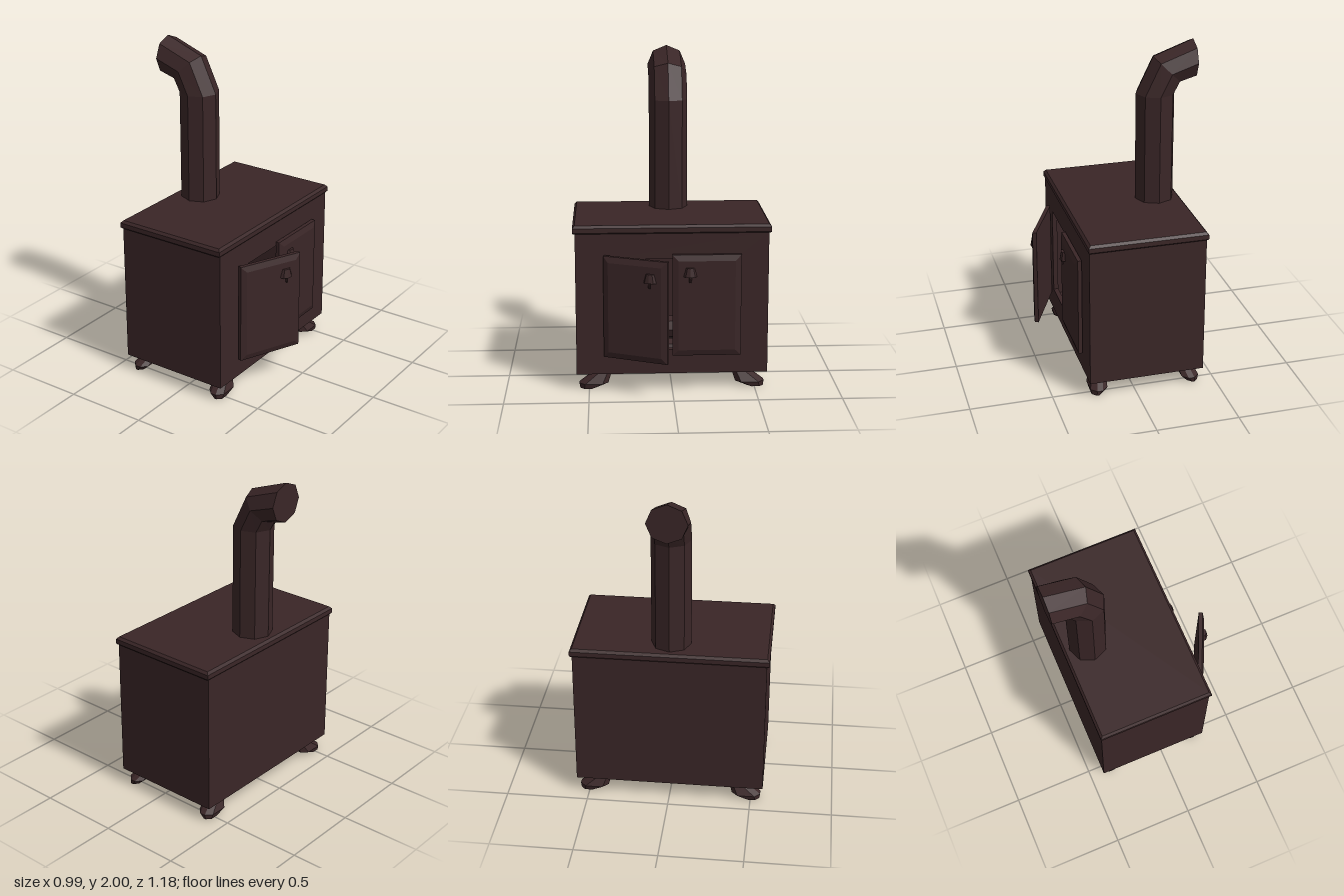
import * as THREE from 'three';
import { ConvexGeometry } from 'three/addons/geometries/ConvexGeometry.js';

export function createModel() {
  const root = new THREE.Group();
  root.name = 'woodStove';
  const iron = new THREE.MeshStandardMaterial({ color: 0x3a2627, flatShading: true });
  iron.name = 'castIron';

  const add = (parent, name, geometry, x = 0, y = 0, z = 0) => {
    const mesh = new THREE.Mesh(geometry, iron);
    mesh.name = name;
    mesh.position.set(x, y, z);
    parent.add(mesh);
    return mesh;
  };
  const hull = (points) => new ConvexGeometry(points.map((p) => new THREE.Vector3(...p)));
  // box from minimum and maximum corners
  const block = (name, [x0, y0, z0], [x1, y1, z1]) =>
    add(root, name, new THREE.BoxGeometry(x1 - x0, y1 - y0, z1 - z0),
      (x0 + x1) / 2, (y0 + y1) / 2, (z0 + z1) / 2);

  // Hollow firebox
  const X0 = -0.42, X1 = 0.285, Z = 0.575, Y0 = 0.1, Y1 = 0.97, T = 0.03;
  block('floor', [X0, Y0, -Z], [X1 - T, Y0 + T, Z]);
  block('ceiling', [X0, Y1 - T, -Z], [X1 - T, Y1, Z]);
  block('rearWall', [X0, Y0 + T, -Z], [X0 + T, Y1 - T, Z]);
  for (const s of [-1, 1]) {
    const a = s * Z, b = s * (Z - T);
    block('sideWall', [X0 + T, Y0 + T, Math.min(a, b)], [X1 - T, Y1 - T, Math.max(a, b)]);
  }

  // Door wall with its opening
  const rect = (Type, w, y0, y1) => new Type([[-w, y0], [w, y0], [w, y1], [-w, y1]]
    .map((p) => new THREE.Vector2(...p)));
  const wall = rect(THREE.Shape, Z, Y0, Y1);
  wall.holes.push(rect(THREE.Path, 0.38, 0.25, 0.81));
  const wallGeometry = new THREE.ExtrudeGeometry(wall, { depth: T, bevelEnabled: false });
  wallGeometry.rotateY(Math.PI / 2);
  add(root, 'doorWall', wallGeometry, X1 - T, 0, 0);

  // Logs inside
  for (const [x, y, z] of [[0.1, 0.19, 0], [-0.06, 0.19, 0], [0.02, 0.31, 0]]) {
    add(root, 'log', new THREE.CylinderGeometry(0.07, 0.07, 0.6, 8), x, y, z).rotation.x = Math.PI / 2;
  }

  // Chamfered top plate
  const plate = [];
  for (const [y, inset] of [[0.965, 0.006], [0.972, 0], [1.0, 0], [1.015, 0.014]])
    for (const s of [-1, 1]) for (const t of [-1, 1])
      plate.push([-0.068 + s * (0.36 - inset), y, t * (0.59 - inset)]);
  add(root, 'topPlate', hull(plate));

  // Splayed feet: [height, x range, z range, corner cut]
  const levels = [
    [0.105, 0.218, 0.303, 0.36, 0.45, 0.025],
    [0.03, 0.235, 0.34, 0.385, 0.56, 0.035],
    [0, 0.268, 0.333, 0.46, 0.555, 0.025],
  ];
  for (const sx of [-1, 1]) for (const sz of [-1, 1]) {
    const points = [];
    for (const [y, x0, x1, z0, z1, c] of levels)
      for (const [x, z] of [[x0, z0], [x1 - c, z0], [x1, z0 + c], [x1, z1 - c],
        [x1 - c, z1], [x0 + c, z1], [x0, z1 - c]])
        points.push([-0.068 + sx * x, y, sz * z]);
    add(root, 'foot', hull(points));
  }

  // Eight-sided stovepipe with an elbow: [centre x, centre y, axis x, axis y]
  const R = 0.119, N = 8;
  const rings = [
    [-0.27, 1.0, 0.12, 0],
    [-0.27, 1.69, 0.12, 0],
    [-0.338, 1.828, 0.083, 0.083],
    [-0.5, 1.882, 0, 0.118],
  ];
  const positions = [], index = [];
  rings.forEach(([cx, cy, ux, uy], r) => {
    for (let i = 0; i < N; i++) {
      const a = (i / N) * Math.PI * 2, c = Math.cos(a);
      positions.push(cx + ux * c, cy + uy * c, R * Math.sin(a));
      if (r === 0) continue;
      const j = (i + 1) % N, lo = (r - 1) * N, hi = r * N;
      index.push(lo + i, hi + i, hi + j, lo + i, hi + j, lo + j);
    }
  });
  const end = (rings.length - 1) * N;
  for (let i = 1; i < N - 1; i++) index.push(end, end + i + 1, end + i);
  let pipe = new THREE.BufferGeometry();
  pipe.setAttribute('position', new THREE.Float32BufferAttribute(positions, 3));
  pipe.setIndex(index);
  pipe = pipe.toNonIndexed();
  pipe.computeVertexNormals();
  add(root, 'stovepipe', pipe);

  // Bevelled doors, hinged at their outer edges; side is the direction of the hinge
  const makeDoor = (name, side, hingeX, hingeZ, angle) => {
    const door = new THREE.Group();
    door.name = name;
    const points = [];
    for (const [x, inset] of [[0, 0], [0.024, 0], [0.036, 0.036]])
      for (const y of [0.22 + inset, 0.84 - inset])
        for (const z of [inset, 0.41 - inset]) points.push([x, y, -side * z]);
    add(door, 'doorPanel', hull(points));
    const hz = -side * 0.305;
    add(door, 'handle', new THREE.CylinderGeometry(0.025, 0.04, 0.053, 8), 0.036, 0.737, hz).scale.x = 0.65;
    add(door, 'handleStem', new THREE.CylinderGeometry(0.009, 0.007, 0.035, 6), 0.045, 0.695, hz);
    door.position.set(hingeX, 0, hingeZ);
    door.rotation.y = angle;
    root.add(door);
  };
  makeDoor('closedDoor', -1, 0.29, -0.41, 0);
  makeDoor('openDoor', 1, 0.294, 0.4, -0.43);

  return root;
}
